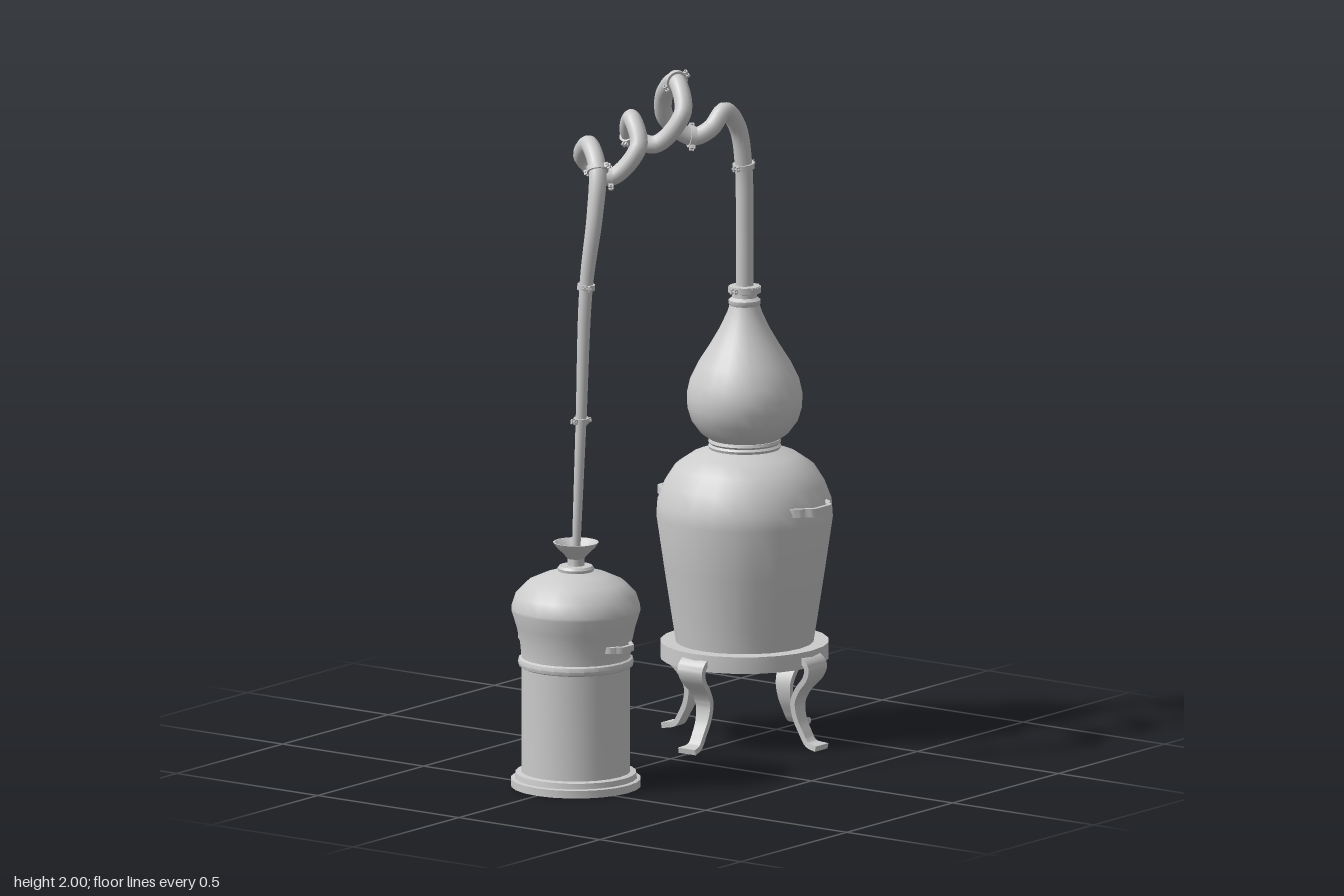
import * as THREE from 'three';
import { toCreasedNormals, mergeVertices } from 'three/addons/utils/BufferGeometryUtils.js';

const mat = new THREE.MeshStandardMaterial({ color: 0xcccccc, side: THREE.DoubleSide });
const V = (x, y, z = 0) => new THREE.Vector3(x, y, z);
const POT_X = 0.35, COND_X = -0.447;

function mesh(name, geo, parent, x = 0, y = 0, z = 0) {
  const m = new THREE.Mesh(geo, mat);
  m.name = name;
  m.position.set(x, y, z);
  parent.add(m);
  return m;
}

// Turned part from [radius, height] pairs
function turned(name, profile, parent, x, sides = 24) {
  const g = new THREE.LatheGeometry(profile.map(([r, y]) => new THREE.Vector2(r, y)), sides);
  return mesh(name, toCreasedNormals(g, 0.6), parent, x);
}

// Flat bar swept along a curve in the xy plane; points are [x, y, half width along z]
function strap(points, thickness, steps = 24) {
  const curve = new THREE.CatmullRomCurve3(points.map(p => V(...p)), false, 'centripetal');
  const pos = [], idx = [];
  for (let i = 0; i <= steps; i++) {
    const p = curve.getPoint(i / steps), t = curve.getTangent(i / steps).setZ(0).normalize();
    const nx = -t.y * thickness / 2, ny = t.x * thickness / 2;
    for (const [s, w] of [[1, 1], [1, -1], [-1, -1], [-1, 1]]) {
      pos.push(p.x + nx * s, p.y + ny * s, w * p.z);
    }
    if (i === 0) continue;
    for (let k = 0; k < 4; k++) {
      const a = (i - 1) * 4 + k, b = (i - 1) * 4 + (k + 1) % 4;
      idx.push(a, a + 4, b, b, a + 4, b + 4);
    }
  }
  const e = steps * 4;
  idx.push(0, 1, 2, 0, 2, 3, e, e + 2, e + 1, e, e + 3, e + 2);
  // make the winding face outward
  for (let i = 0; i < idx.length; i += 3) [idx[i + 1], idx[i + 2]] = [idx[i + 2], idx[i + 1]];
  const g = new THREE.BufferGeometry();
  g.setAttribute('position', new THREE.Float32BufferAttribute(pos, 3));
  g.setIndex(idx);
  return toCreasedNormals(mergeVertices(g), 0.7);
}

// Pair of grips on the front and back of a vessel
function handles(name, parent, x, y, surface, half, out, h) {
  const pts = [[-half, -0.025], [-half * 0.85, 0], [-half * 0.6, out * 0.5], [-half * 0.45, out],
    [0, out + 0.002]];
  const full = [...pts, ...pts.slice(0, 4).reverse().map(([a, b]) => [-a, b])];
  const geo = strap(full.map(([a, b]) => [a, b + surface, h]), 0.012, 28);
  geo.rotateX(Math.PI / 2);
  for (const s of [0, 1]) mesh(name, geo, parent, x, y).rotation.y = s * Math.PI;
}

// Clamp ring with a bolted lug on each side, aligned to a direction
function clamp(parent, p, dir, r) {
  const g = new THREE.Group();
  g.name = 'pipeClamp';
  const ring = [[r * 0.8, -0.008], [r + 0.006, -0.008], [r + 0.006, 0.008], [r * 0.8, 0.008]];
  turned('clampRing', ring, g, 0, 16);
  for (const s of [-1, 1]) {
    for (const k of [-1, 1]) {
      mesh('clampLug', new THREE.BoxGeometry(0.014, 0.014, 0.005), g, s * (r + 0.009), 0, k * 0.006);
    }
    mesh('clampBolt', new THREE.CylinderGeometry(0.003, 0.003, 0.026, 6).rotateX(Math.PI / 2),
      g, s * (r + 0.011));
  }
  g.position.copy(p);
  g.quaternion.setFromUnitVectors(V(0, 1, 0), dir);
  parent.add(g);
}

export function createModel() {
  const model = new THREE.Group();
  model.name = 'still';

  // Boiler pot, its support ring and onion head
  const boiler = new THREE.Group();
  boiler.name = 'boiler';
  model.add(boiler);
  turned('pot', [[0, 0.275], [0.195, 0.275], [0.207, 0.35], [0.23, 0.5], [0.252, 0.65], [0.249, 0.69],
    [0.228, 0.745], [0.198, 0.792], [0.15, 0.825], [0.1, 0.843], [0.1, 0.85]], boiler, POT_X);
  turned('supportRing', [[0.195, 0.285], [0.24, 0.285], [0.24, 0.237], [0.222, 0.237], [0.222, 0.275]],
    boiler, POT_X);
  turned('neckRing', [[0.09, 0.84], [0.101, 0.842], [0.104, 0.85], [0.098, 0.856], [0.104, 0.862],
    [0.101, 0.87], [0.09, 0.872]], boiler, POT_X);
  turned('onionHead', [[0.095, 0.868], [0.125, 0.888], [0.152, 0.925], [0.164, 0.965], [0.165, 1.0],
    [0.156, 1.04], [0.132, 1.09], [0.1, 1.14], [0.071, 1.19], [0.05, 1.235], [0.042, 1.26]],
    boiler, POT_X);
  turned('headCollar', [[0.042, 1.255], [0.046, 1.262], [0.046, 1.272], [0.036, 1.28], [0.036, 1.29],
    [0.044, 1.292], [0.044, 1.312], [0.026, 1.314]], boiler, POT_X);
  clamp(boiler, V(POT_X, 1.302), V(0, 1, 0), 0.041);
  handles('potHandle', boiler, POT_X, 0.695, 0.24, 0.085, 0.032, 0.012);

  // Four curved legs
  const legGeo = strap([[0.2, 0.262, 0.042], [0.232, 0.262, 0.044], [0.251, 0.24, 0.044],
    [0.243, 0.21, 0.04], [0.208, 0.17, 0.031], [0.189, 0.13, 0.026], [0.195, 0.085, 0.022],
    [0.215, 0.045, 0.02], [0.235, 0.016, 0.021], [0.273, 0.008, 0.03]], 0.016, 40);
  for (let i = 0; i < 4; i++) mesh('leg', legGeo, boiler, POT_X).rotation.y = i * Math.PI / 2;

  // Condenser vessel, open underneath, with a funnel on top
  const condenser = new THREE.Group();
  condenser.name = 'condenser';
  model.add(condenser);
  turned('vessel', [[0.155, 0.0], [0.155, 0.35], [0.156, 0.38], [0.16, 0.42], [0.17, 0.465],
    [0.184, 0.51], [0.184, 0.518], [0.172, 0.555], [0.138, 0.59], [0.09, 0.612], [0.05, 0.622]],
    condenser, COND_X);
  turned('baseFlange', [[0.156, 0], [0.185, 0], [0.185, 0.022], [0.174, 0.024], [0.172, 0.04],
    [0.156, 0.043]], condenser, COND_X);
  turned('waistBand', [[0.154, 0.346], [0.162, 0.35], [0.165, 0.36], [0.162, 0.371], [0.154, 0.376]],
    condenser, COND_X);
  turned('topRing', [[0.04, 0.616], [0.05, 0.62], [0.052, 0.63], [0.047, 0.637], [0.02, 0.638]],
    condenser, COND_X);
  turned('funnel', [[0.024, 0.635], [0.024, 0.658], [0.036, 0.672], [0.055, 0.69], [0.065, 0.705],
    [0.06, 0.705], [0.035, 0.682], [0.016, 0.662]], condenser, COND_X);
  handles('vesselHandle', condenser, COND_X, 0.418, 0.158, 0.055, 0.022, 0.009);

  // Twisting vapour pipe, tapering towards the condenser; a fourth value 1 marks a clamp
  const path = [[0.35, 1.29, 0], [0.35, 1.5, 0], [0.345, 1.66, 0, 1], [0.318, 1.775, 0],
    [0.255, 1.835, 0], [0.2, 1.79, -0.01], [0.16, 1.77, -0.045, 1], [0.1, 1.83, -0.092],
    [0.058, 1.91, -0.065], [0.015, 1.963, 0.01, 1], [-0.034, 1.885, 0.068], [-0.08, 1.795, 0.005],
    [-0.122, 1.825, -0.052, 1], [-0.17, 1.885, -0.01], [-0.212, 1.815, 0.045],
    [-0.262, 1.728, -0.018, 1], [-0.31, 1.785, -0.078], [-0.358, 1.84, -0.02],
    [-0.408, 1.785, 0.047, 1], [-0.44, 1.66, 0.062], [-0.452, 1.45, 0.04, 1],
    [-0.452, 1.06, 0.022, 1], [-0.448, 0.65, 0]];
  const curve = new THREE.CatmullRomCurve3(path.map(([x, y, z]) => V(x, y, z)), false, 'centripetal');
  curve.arcLengthDivisions = 800;
  const radius = p => p.x > -0.3 ? 0.0255
    : p.y > 1.45 ? 0.0195 + 0.006 * Math.min(1, (p.y - 1.45) / 0.3)
      : 0.012 + 0.0075 * Math.max(0, (p.y - 0.65) / 0.8);
  const steps = 260, sides = 14;
  const tube = new THREE.TubeGeometry(curve, steps, 1, sides);
  const pa = tube.attributes.position, v = V(0, 0);
  for (let i = 0; i <= steps; i++) {
    const c = curve.getPointAt(i / steps);
    for (let j = 0; j <= sides; j++) {
      const k = i * (sides + 1) + j;
      v.fromBufferAttribute(pa, k).sub(c).multiplyScalar(radius(c)).add(c);
      pa.setXYZ(k, v.x, v.y, v.z);
    }
  }
  const pipe = new THREE.Group();
  pipe.name = 'vapourPipe';
  model.add(pipe);
  mesh('pipe', tube, pipe);
  path.forEach((p, i) => {
    if (!p[3]) return;
    const t = i / (path.length - 1), c = curve.getPoint(t);
    clamp(pipe, c, curve.getTangent(t), radius(c));
  });
  return model;
}
